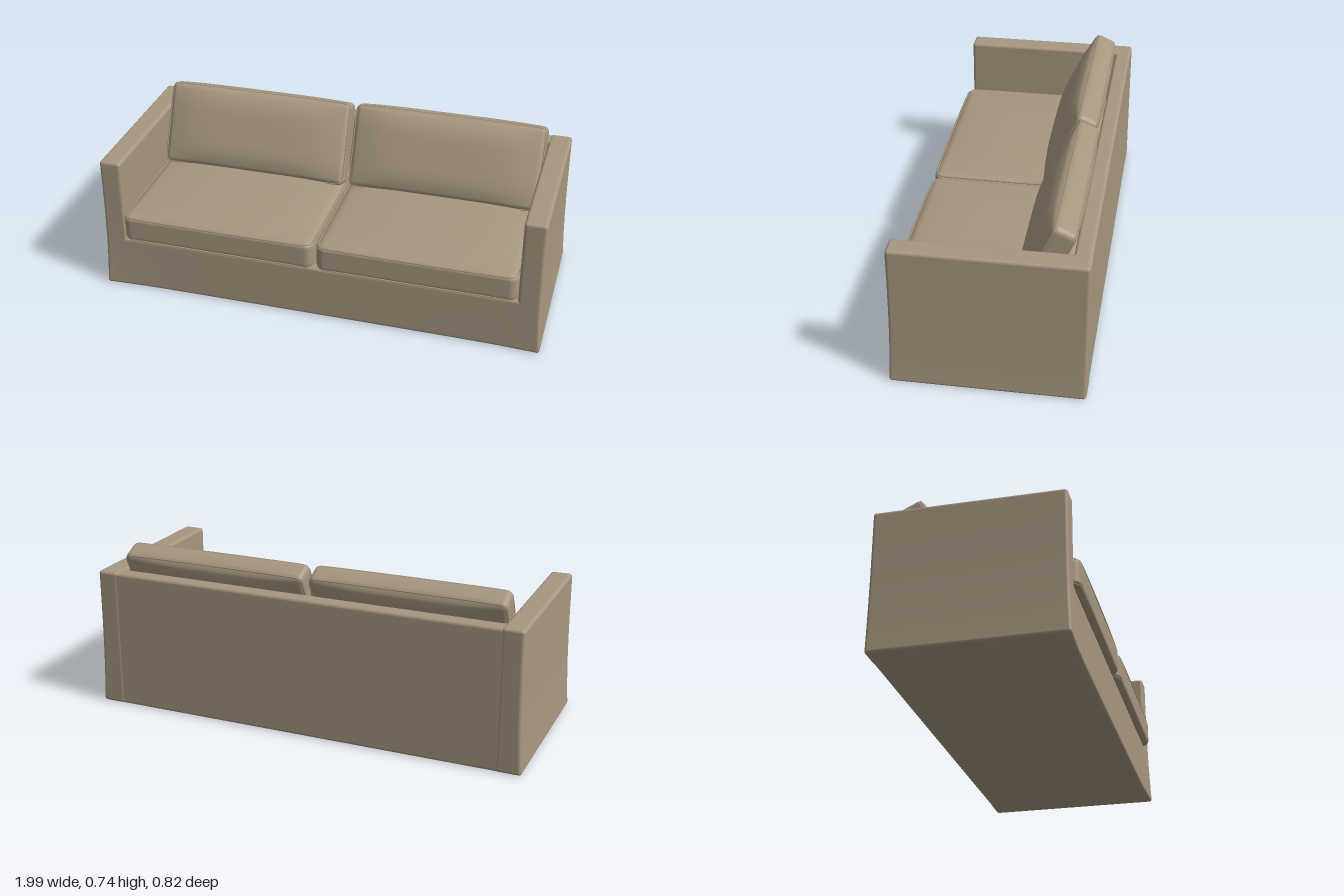
import * as THREE from 'three';
import { mergeVertices } from 'three/addons/utils/BufferGeometryUtils.js';

const fabric = new THREE.MeshStandardMaterial({ color: 0xa79780 });
fabric.name = 'taupe fabric';

const EDGE = 4; // segments spent on each rounded edge
const INNER = 14; // segments across each flat face

// Box with rounded edges (one radius per axis), smooth normals and an optional vertex rule
function softBox(size, radii, rule) {
  const n = EDGE * 2 + INNER;
  const geo = new THREE.BoxGeometry(1, 1, 1, n, n, n);
  geo.deleteAttribute('uv');
  geo.deleteAttribute('normal');
  const pos = geo.attributes.position;
  const p = new THREE.Vector3();
  const q = new THREE.Vector3();
  for (let i = 0; i < pos.count; i++) {
    p.fromBufferAttribute(pos, i);
    const core = [], off = [];
    p.toArray().forEach((u, a) => {
      const k = Math.round((u + 0.5) * n);
      const half = size[a] / 2 - radii[a];
      core[a] = half * THREE.MathUtils.clamp(((k - EDGE) / INNER) * 2 - 1, -1, 1);
      off[a] = k < EDGE ? k / EDGE - 1 : k > n - EDGE ? (k - n + EDGE) / EDGE : 0;
    });
    // cube-to-sphere mapping of the edge region
    const m = Math.max(...off.map(Math.abs));
    q.fromArray(off.map((o) => Math.tan((o * Math.PI) / 4)));
    if (m > 0) q.normalize();
    p.set(...core.map((c, a) => c + q.getComponent(a) * radii[a]));
    if (rule) rule(p);
    pos.setXYZ(i, p.x, p.y, p.z);
  }
  const smooth = mergeVertices(geo, 1e-5);
  smooth.computeVertexNormals();
  return smooth;
}

function addMesh(parent, name, geo) {
  const mesh = new THREE.Mesh(geo, fabric);
  mesh.name = name;
  parent.add(mesh);
  return mesh;
}

// Frame panel given by its extents; the fabric flares out a little at the floor corners
function panel(parent, name, min, max) {
  const size = max.map((v, a) => v - min[a]);
  const mid = max.map((v, a) => (v + min[a]) / 2);
  const geo = softBox(size, [0.014, 0.014, 0.014], (p) => {
    p.set(p.x + mid[0], p.y + mid[1], p.z + mid[2]);
    const flare = Math.pow(1 - Math.min(1, Math.max(0, p.y / 0.63)), 3);
    const corner = Math.pow(Math.min(1, Math.abs(p.x)), 8);
    if (Math.abs(p.x) > 0.94) p.x += Math.sign(p.x) * 0.015 * flare;
    if (p.z > 0.3) p.z += 0.014 * flare * corner;
  });
  return addMesh(parent, name, geo);
}

// Thin cord around a rounded rectangle lying in the xz plane
function piping(w, d, r, rise) {
  const pts = [];
  for (let c = 0; c < 4; c++) {
    const sx = c === 0 || c === 3 ? 1 : -1;
    const sz = c < 2 ? 1 : -1;
    for (let k = 0; k <= 4; k++) {
      const a = ((c + k / 4) * Math.PI) / 2;
      const x = sx * (w / 2 - r) + r * Math.cos(a);
      const z = sz * (d / 2 - r) + r * Math.sin(a);
      pts.push(new THREE.Vector3(x, rise, z));
    }
  }
  const curve = new THREE.CatmullRomCurve3(pts, true, 'centripetal');
  return new THREE.TubeGeometry(curve, 120, 0.004, 6, true);
}

// How full a cushion is at a point: 1 in the middle, 0 at the seams
const puff = (a, b, w, h) =>
  Math.max(0, 1 - Math.pow((2 * a) / w, 4)) * Math.max(0, 1 - Math.pow((2 * b) / h, 4));

function seatCushion() {
  const g = new THREE.Group();
  const w = 0.88, h = 0.125, d = 0.74;
  addMesh(g, 'seatPad', softBox([w, h, d], [0.04, 0.02, 0.04], (p) => {
    if (p.y > 0) p.y += 0.026 * puff(p.x, p.z, w, d) * Math.min(1, p.y / 0.05);
  }));
  for (const s of [-1, 1]) {
    addMesh(g, 'seatPiping', piping(w - 0.014, d - 0.014, 0.033, s * (h / 2 - 0.008)));
  }
  return g;
}

function backCushion() {
  const g = new THREE.Group();
  const w = 0.872, h = 0.38, t = 0.1;
  addMesh(g, 'backPad', softBox([w, h, t], [0.025, 0.025, 0.018], (p) => {
    const fullness = p.z > 0 ? 0.036 : 0.03;
    const side = THREE.MathUtils.clamp(p.z / (t / 2), -1, 1);
    const bulge = fullness * puff(p.x, p.y, w, h) * side;
    // boxing along the top swells gently
    if (p.y > 0.1) p.y += 0.008 * (1 - side * side) * (1 - Math.pow((2 * p.x) / w, 4));
    p.z += bulge;
  }));
  for (const s of [-1, 1]) {
    const cord = piping(w - 0.01, h - 0.01, 0.02, s * (t / 2 - 0.007));
    cord.rotateX(Math.PI / 2);
    addMesh(g, 'backPiping', cord);
  }
  return g;
}

export function createModel() {
  const sofa = new THREE.Group();
  sofa.name = 'sofa';

  // Frame
  panel(sofa, 'base', [-0.95, 0, -0.4], [0.95, 0.25, 0.388]);
  panel(sofa, 'backPanel', [-0.98, 0, -0.408], [0.98, 0.63, -0.335]);
  panel(sofa, 'leftArm', [0.885, 0, -0.41], [0.982, 0.633, 0.388]);
  panel(sofa, 'rightArm', [-0.982, 0, -0.41], [-0.885, 0.633, 0.388]);

  // Loose cushions
  for (const s of [-1, 1]) {
    const side = s > 0 ? 'left' : 'right';
    const seat = seatCushion();
    seat.name = side + 'SeatCushion';
    seat.position.set(s * 0.446, 0.318, 0.043);
    sofa.add(seat);

    const back = backCushion();
    back.name = side + 'BackCushion';
    back.position.set(s * 0.447, 0.547, s > 0 ? -0.222 : -0.212);
    back.rotation.x = -0.43;
    sofa.add(back);
  }
  return sofa;
}
